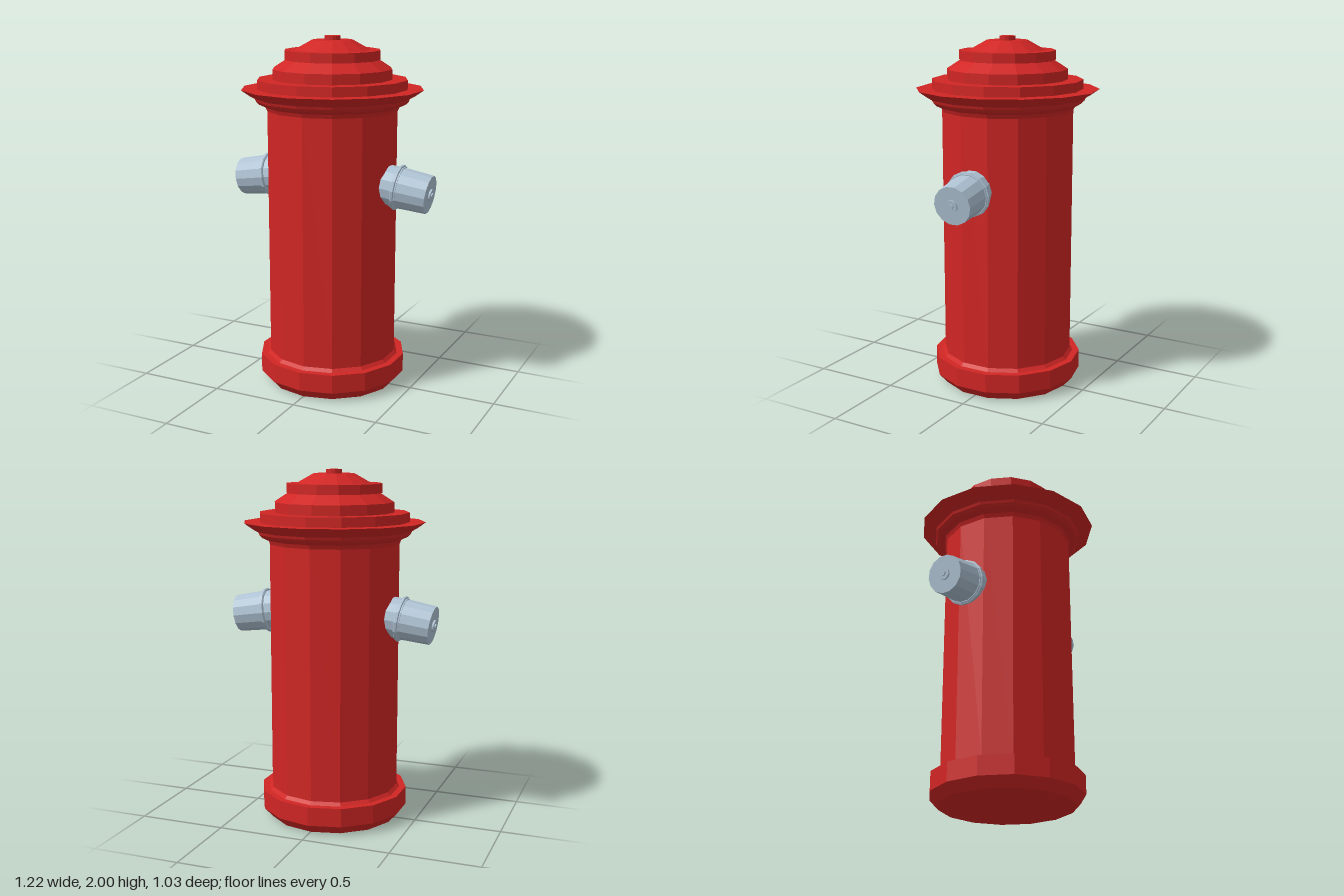
import * as THREE from 'three';

const SIDES = 14;
const red = new THREE.MeshStandardMaterial({ color: 0xd02624, flatShading: true });
const steel = new THREE.MeshStandardMaterial({ color: 0xafc3d4, flatShading: true });

// Faceted turned part from [radius, height] pairs listed bottom to top
function turned(name, profile, material) {
  const points = profile.map(([r, y]) => new THREE.Vector2(r, y));
  const mesh = new THREE.Mesh(new THREE.LatheGeometry(points, SIDES), material);
  mesh.name = name;
  return mesh;
}

// Side outlet: its axis is +y, with y = 0 at the middle of the flange
function outlet(name) {
  const group = new THREE.Group();
  group.name = name;
  group.add(
    turned('outletCollar', [[0, -0.1], [0.112, -0.1], [0.115, -0.01], [0, -0.01]], steel),
    turned('outletFlange', [[0, -0.012], [0.122, -0.012], [0.129, -0.007], [0.129, 0.006],
      [0.12, 0.009], [0.12, 0.016], [0, 0.016]], steel),
    turned('outletCap', [[0, 0.01], [0.115, 0.01], [0.108, 0.182], [0, 0.182]], steel),
    turned('outletBoss', [[0, 0.18], [0.034, 0.18], [0.034, 0.192], [0, 0.192]], steel),
    turned('outletPin', [[0, 0.19], [0.014, 0.19], [0.014, 0.199], [0, 0.199]], steel),
  );
  return group;
}

export function createModel() {
  const model = new THREE.Group();
  model.name = 'fireHydrant';

  // Foot and barrel
  model.add(
    turned('base', [[0, 0], [0.375, 0], [0.425, 0.055], [0.425, 0.162], [0.387, 0.162],
      [0.37, 0.18]], red),
    turned('barrel', [[0.37, 0.18], [0.37, 1.59]], red),
  );

  // Flared brim and stepped bonnet
  model.add(
    turned('brim', [[0.37, 1.59], [0.38, 1.612], [0.415, 1.628], [0.432, 1.645],
      [0.438, 1.66], [0.465, 1.675], [0.515, 1.71], [0.425, 1.71]], red),
    turned('lowerStep', [[0.425, 1.71], [0.425, 1.763], [0.338, 1.763]], red),
    turned('middleStep', [[0.338, 1.763], [0.338, 1.82], [0.26, 1.87]], red),
    turned('upperStep', [[0.26, 1.87], [0.27, 1.87], [0.27, 1.923], [0.212, 1.923]], red),
    turned('crown', [[0.212, 1.923], [0.115, 1.977], [0, 1.977]], red),
    turned('topNut', [[0.045, 1.97], [0.045, 2], [0, 2]], red),
  );

  // Two outlets that droop slightly outward
  const tilt = Math.PI / 2 + 0.15;
  const left = outlet('leftOutlet');
  left.position.set(0.412, 1.181, 0.006);
  left.rotation.set(0, 0.06, -tilt);
  const right = outlet('rightOutlet');
  right.position.set(-0.409, 1.181, -0.013);
  right.rotation.set(0, 0, tilt);
  model.add(left, right);

  return model;
}
